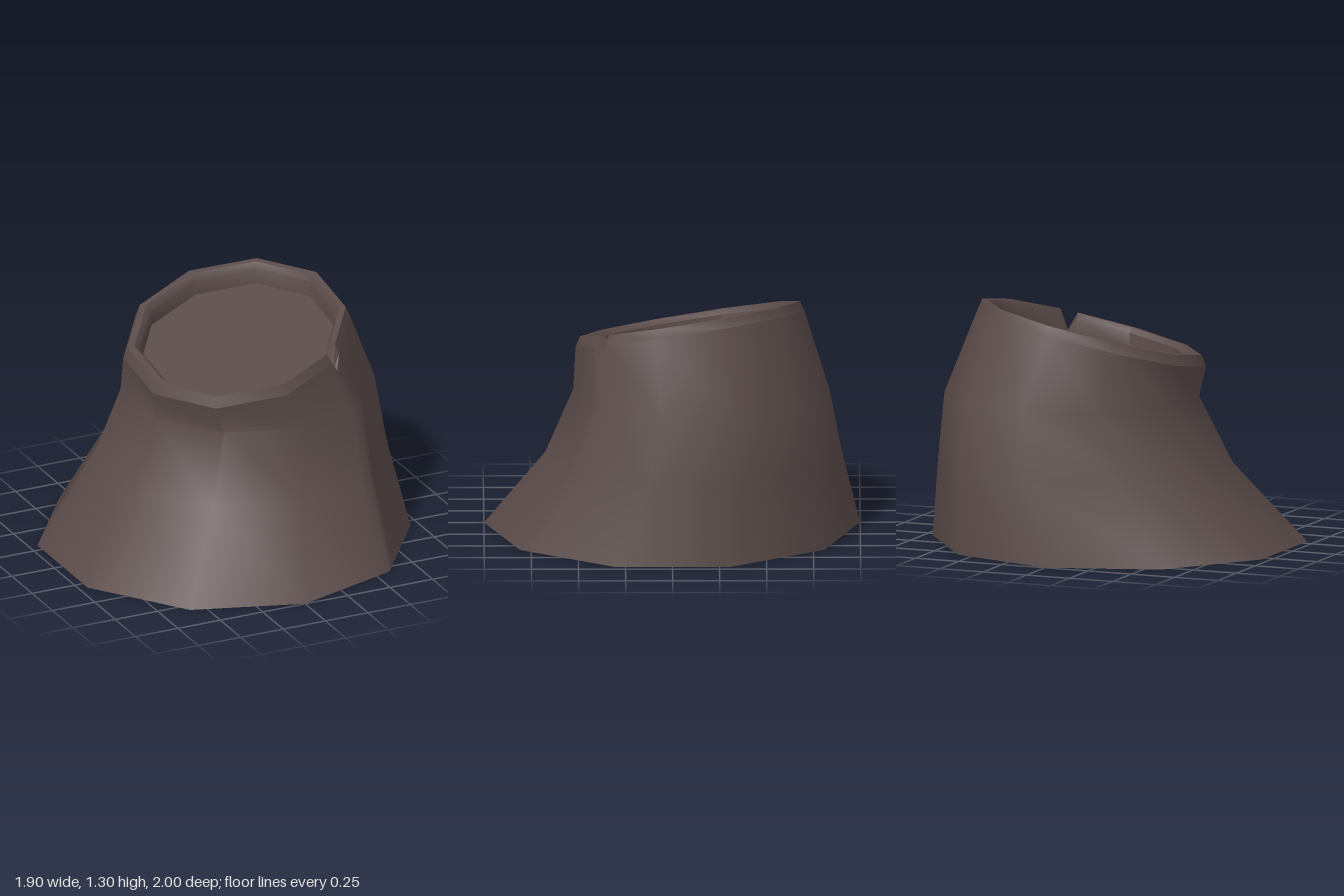
import * as THREE from 'three';
import { toCreasedNormals } from 'three/addons/utils/BufferGeometryUtils.js';

const SIDES = 10;
const NOTCH = 1; // corner of the rim that is split

// Height of the slanted cut at a point
const cutHeight = (x, z) => 1.147 + 0.205 * (x - 0.12) - 0.165 * (z + 0.09);

// Decagon ring; the notch corner becomes three columns, the middle one lowered.
// With cut = true, y is an offset from the slanted cut plane.
function ring({ cx, cz, r, y, cut = false, notchY = y }) {
  const corner = (i) => {
    const a = THREE.MathUtils.degToRad(18 + i * 36);
    return [cx + r * Math.cos(a), cz + r * Math.sin(a)];
  };
  const points = [];
  const add = ([x, z], h) => points.push(new THREE.Vector3(x, cut ? cutHeight(x, z) + h : h, z));
  const toward = (p, q, t) => [p[0] + (q[0] - p[0]) * t, p[1] + (q[1] - p[1]) * t];
  for (let i = 0; i < SIDES; i++) {
    if (i === NOTCH) {
      add(toward(corner(i), corner(i - 1), 0.14), y);
      add(corner(i), notchY);
      add(toward(corner(i), corner(i + 1), 0.14), y);
    } else add(corner(i), y);
  }
  return points;
}

// Skin a stack of rings, skipping collapsed triangles
function loft(rings, crease) {
  const pos = [];
  const tri = (a, b, c) => {
    if (a.distanceTo(b) < 1e-6 || b.distanceTo(c) < 1e-6 || c.distanceTo(a) < 1e-6) return;
    for (const p of [a, b, c]) pos.push(p.x, p.y, p.z);
  };
  for (let i = 0; i < rings.length - 1; i++) {
    const lo = rings[i], hi = rings[i + 1], n = lo.length;
    for (let j = 0; j < n; j++) {
      const k = (j + 1) % n;
      tri(lo[j], hi[j], hi[k]);
      tri(lo[j], hi[k], lo[k]);
    }
  }
  const g = new THREE.BufferGeometry();
  g.setAttribute('position', new THREE.Float32BufferAttribute(pos, 3));
  return toCreasedNormals(g, crease);
}

export function createModel() {
  const group = new THREE.Group();
  group.name = 'treeStump';
  const bark = new THREE.MeshStandardMaterial({ color: 0x5a4b49 });
  const add = (name, rings, crease) => {
    const mesh = new THREE.Mesh(loft(rings.map(ring), crease), bark);
    mesh.name = name;
    group.add(mesh);
  };

  const base = { cx: 0, cz: 0, r: 1, y: 0 };
  const lip = { cx: 0.12, cz: -0.095, r: 0.608, y: -0.055, cut: true, notchY: -0.115 };
  const floorEdge = { cx: 0.13, cz: -0.1, r: 0.522, y: -0.11, cut: true };

  // Flared trunk leaning up to the cut
  add('trunk', [
    base,
    { cx: 0.15, cz: -0.115, r: 0.787, y: 0.43 },
    { cx: 0.212, cz: -0.155, r: 0.68, y: 0.79 },
    lip,
  ], 0.9);

  // Raised bark rim with the split running through it
  add('rim', [
    lip,
    { cx: 0.12, cz: -0.095, r: 0.585, y: 0, cut: true, notchY: -0.112 },
    { cx: 0.125, cz: -0.097, r: 0.552, y: 0, cut: true, notchY: -0.11 },
    { cx: 0.13, cz: -0.1, r: 0.528, y: -0.03, cut: true, notchY: -0.11 },
    floorEdge,
  ], 0.7);

  // Sunken cut wood and flat underside
  add('cutFace', [floorEdge, { ...floorEdge, r: 0 }], 0.5);
  add('underside', [{ ...base, r: 0 }, base], 0.5);

  return group;
}
